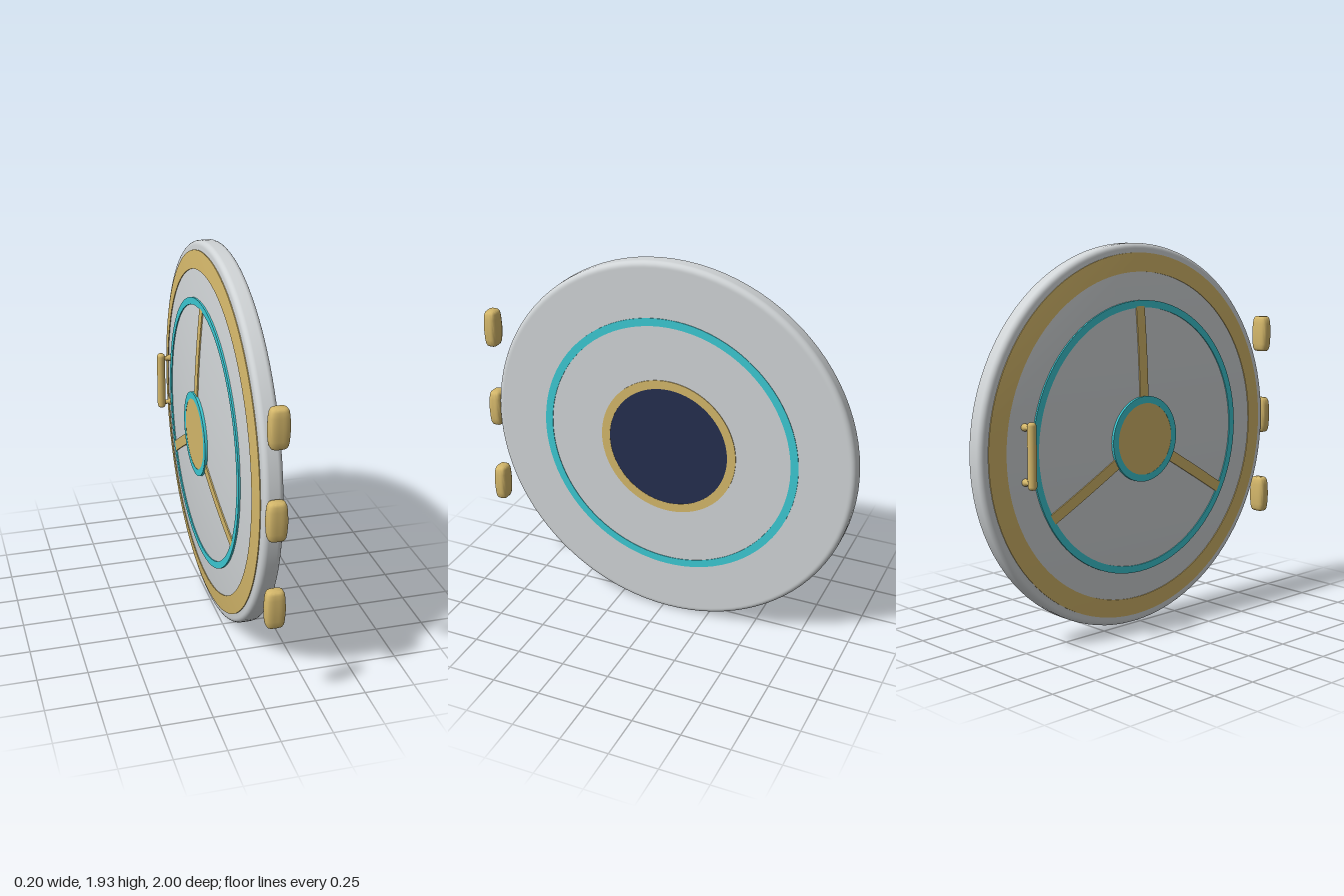
import * as THREE from 'three';
import { toCreasedNormals } from 'three/addons/utils/BufferGeometryUtils.js';

const RADIUS = 0.966, THICK = 0.095, DOME_R = 0.94, SEG = 96;
// Height of the shallow dome on the -x face at distance r from the centre
const dome = (r) => 0.065 * Math.max(0, 1 - (r / DOME_R) ** 2);
const material = (name, color) => {
  const m = new THREE.MeshStandardMaterial({ color });
  m.name = name;
  return m;
};

// Lathe whose axis lies along x; points are [radius, x]
function latheX(points, segments = SEG) {
  const geo = new THREE.LatheGeometry(points.map(([r, x]) => new THREE.Vector2(r, x)), segments);
  return geo.rotateZ(-Math.PI / 2);
}

function flatRing(r0, r1, x0, x1) {
  return toCreasedNormals(latheX([[r0, x0], [r1, x0], [r1, x1], [r0, x1], [r0, x0]]), 0.6);
}

function flatDisc(r, x0, x1) {
  return new THREE.CylinderGeometry(r, r, x1 - x0, SEG).rotateZ(-Math.PI / 2).translate((x0 + x1) / 2, 0, 0);
}

// Softly swollen block: a lathe whose round section is squared off and flattened
function hingeGeometry() {
  const profile = [[0, -0.095], [0.03, -0.095], [0.037, -0.091], [0.043, -0.08], [0.047, -0.055], [0.05, 0],
    [0.047, 0.055], [0.043, 0.08], [0.037, 0.091], [0.03, 0.095], [0, 0.095]];
  const geo = new THREE.LatheGeometry(profile.map(([r, y]) => new THREE.Vector2(r, y)), 32);
  const p = geo.attributes.position;
  for (let i = 0; i < p.count; i++) {
    const x = p.getX(i), z = p.getZ(i), r = Math.hypot(x, z);
    if (r < 1e-6) continue;
    const k = 1 / Math.pow(Math.abs(x / r) ** 3.5 + Math.abs(z / r) ** 3.5, 1 / 3.5);
    p.setX(i, x * k);
    p.setZ(i, z * k * 0.72);
  }
  return toCreasedNormals(geo, 0.7);
}

export function createModel() {
  const shell = material('pale grey', 0xd0d4d6);
  const gold = material('gold', 0xd4b76a);
  const teal = material('teal', 0x3cc8d2);
  const navy = material('navy', 0x242e4e);

  const model = new THREE.Group();
  const door = new THREE.Group();
  door.name = 'door';
  door.position.set(0, 0.968, -0.034);
  model.add(door);
  const add = (parent, name, geo, mat, x = 0, y = 0, z = 0) => {
    const mesh = new THREE.Mesh(geo, mat);
    mesh.name = name;
    mesh.position.set(x, y, z);
    parent.add(mesh);
    return mesh;
  };

  // Door body: dome, rounded rim, flat face
  const body = [];
  for (let i = 0; i <= 16; i++) body.push([DOME_R * i / 16, -dome(DOME_R * i / 16)]);
  const round = RADIUS - DOME_R;
  for (let i = 1; i <= 6; i++) {
    const a = i / 6 * Math.PI / 2;
    body.push([DOME_R + round * Math.sin(a), round * (1 - Math.cos(a))]);
  }
  for (let i = 0; i <= 6; i++) {
    const a = i / 6 * Math.PI / 2;
    body.push([DOME_R + round * Math.cos(a), THICK - round * (1 - Math.sin(a))]);
  }
  body.push([DOME_R - 0.006, THICK], [0, THICK]);
  add(door, 'doorBody', latheX(body), shell);

  // Flat face: painted rings and central window
  add(door, 'faceRing', flatRing(0.645, 0.685, THICK - 0.003, THICK + 0.003), teal);
  add(door, 'windowFrame', flatRing(0.318, 0.363, THICK - 0.003, THICK + 0.004), gold);
  add(door, 'window', flatDisc(0.322, THICK - 0.003, THICK + 0.003), navy);

  // Domed face: gold border following the dome
  const border = [[0.827, -dome(0.827) + 0.003]];
  for (let i = 0; i <= 4; i++) {
    const r = 0.827 + 0.093 * i / 4;
    border.push([r, -dome(r) - 0.004]);
  }
  border.push([0.92, 0.002]);
  add(door, 'domeBorder', toCreasedNormals(latheX(border), 0.6), gold);
  add(door, 'domeRing', flatRing(0.652, 0.688, -0.039, -0.026), teal);

  // Three spokes bent along the dome
  const spoke = new THREE.BoxGeometry(0.008, 0.47, 0.055, 1, 10, 1).translate(0, 0.425, 0);
  const p = spoke.attributes.position;
  for (let i = 0; i < p.count; i++) {
    p.setX(i, p.getX(i) - dome(Math.hypot(p.getY(i), p.getZ(i))) - 0.002);
  }
  spoke.computeVertexNormals();
  for (let i = 0; i < 3; i++) add(door, 'spoke', spoke, gold).rotation.x = i * Math.PI * 2 / 3;

  // Hub
  add(door, 'hubRing', flatRing(0.18, 0.215, -0.075, -0.058), teal);
  add(door, 'hubPlate', flatDisc(0.185, -0.074, -0.058), gold);

  // Pull handle: rounded bar on two flared posts
  const handle = new THREE.Group();
  handle.name = 'handle';
  handle.position.set(0, 0.004, -0.726);
  door.add(handle);
  const bar = [[0, -0.16], [0.013, -0.158], [0.019, -0.152], [0.022, -0.143],
    [0.022, 0.143], [0.019, 0.152], [0.013, 0.158], [0, 0.16]];
  add(handle, 'handleBar', new THREE.LatheGeometry(bar.map(([r, y]) => new THREE.Vector2(r, y)), 24), gold, -0.08);
  const post = latheX([[0.012, -0.08], [0.012, -0.045], [0.018, -0.035], [0.018, -0.01]], 20);
  for (const side of [-1, 1]) add(handle, 'handlePost', post, gold, 0, side * 0.13);

  // Hinges
  const hinge = hingeGeometry();
  for (const y of [0.525, 0.975, 1.425]) add(model, 'hinge', hinge, gold, 0.047, y, 0.964);

  return model;
}
